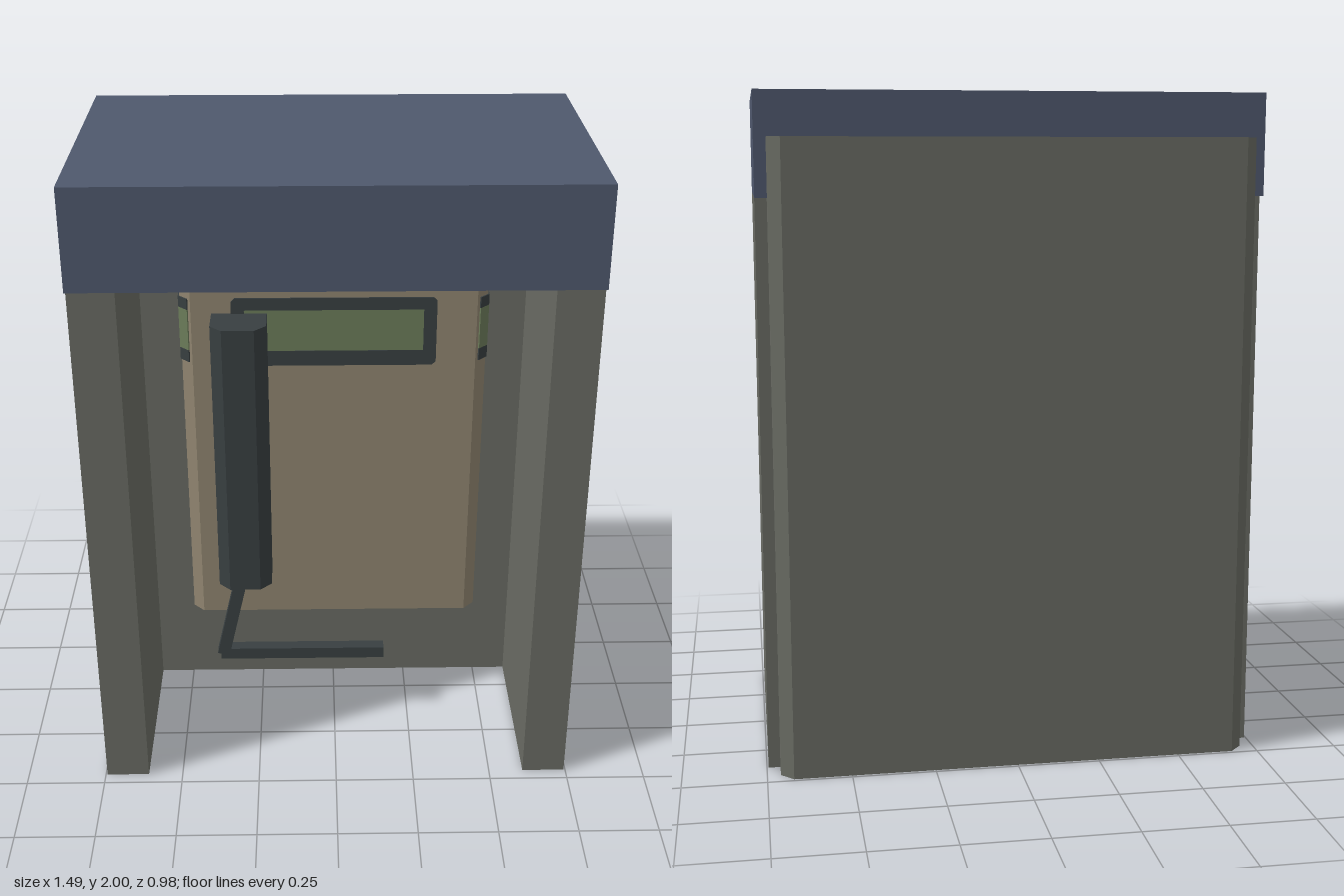
import * as THREE from 'three';

const material = (name, color) => {
  const m = new THREE.MeshStandardMaterial({ color });
  m.name = name;
  return m;
};

export function createModel() {
  const booth = new THREE.Group();
  booth.name = 'phoneBooth';

  const grey = material('greyGreen', 0x696b63);
  const blue = material('slateBlue', 0x4f586d);
  const tan = material('tan', 0x908570);
  const green = material('displayGreen', 0x6c7c5a);
  const dark = material('charcoal', 0x383f41);

  const add = (name, geometry, mat, parent = booth) => {
    const mesh = new THREE.Mesh(geometry, mat);
    mesh.name = name;
    parent.add(mesh);
    return mesh;
  };

  const outline = (points) => new THREE.Shape(points.map(([x, y]) => new THREE.Vector2(x, y)));

  // Upright prism from a plan outline of [x, z] points
  const prism = (points, y0, y1) =>
    new THREE.ExtrudeGeometry(outline(points.map(([x, z]) => [x, -z])), { depth: y1 - y0, bevelEnabled: false })
      .rotateX(-Math.PI / 2)
      .translate(0, y0, 0);

  const box = (x0, x1, y0, y1, z0, z1) =>
    new THREE.BoxGeometry(x1 - x0, y1 - y0, z1 - z0)
      .translate((x0 + x1) / 2, (y0 + y1) / 2, (z0 + z1) / 2);

  // Box plan with the two corners at zCut bevelled
  const bevelled = (cx, half, zFlat, zCut, c) => {
    const s = Math.sign(zCut - zFlat) * c;
    return [
      [cx - half, zFlat], [cx + half, zFlat], [cx + half, zCut - s],
      [cx + half - c, zCut], [cx - half + c, zCut], [cx - half, zCut - s],
    ];
  };

  // Shell: two side walls joined by a thick rear wall
  add('walls', prism([
    [-0.745, 0.46], [-0.61, 0.46], [-0.61, -0.105], [0.61, -0.105],
    [0.61, 0.46], [0.745, 0.46], [0.745, -0.39], [-0.745, -0.39],
  ], 0, 1.7), grey);
  add('backPanel', prism(bevelled(0, 0.71, -0.39, -0.49, 0.038), 0, 1.87), grey);
  add('roof', box(-0.745, 0.745, 1.7, 2, -0.425, 0.49), blue);

  // Telephone body
  const phone = new THREE.Group();
  phone.name = 'telephone';
  booth.add(phone);
  add('phoneBody', prism(bevelled(0, 0.473, -0.105, 0.07, 0.035), 0.375, 1.56), tan, phone);

  // Front display and its frame
  const rect = (x, y0, y1) => [[-x, y0], [x, y0], [x, y1], [-x, y1]];
  const c = 0.012;
  const frame = outline([
    [-0.315 + c, 1.285], [0.315 - c, 1.285], [0.315, 1.285 + c], [0.315, 1.51 - c],
    [0.315 - c, 1.51], [-0.315 + c, 1.51], [-0.315, 1.51 - c], [-0.315, 1.285 + c],
  ]);
  frame.holes.push(outline(rect(0.275, 1.335, 1.47)));
  add('displayFrame', new THREE.ExtrudeGeometry(frame, { depth: 0.004, bevelEnabled: false })
    .translate(0, 0, 0.07), dark, phone);
  add('display', box(-0.275, 0.275, 1.335, 1.47, 0.07, 0.073), green, phone);

  // Thin bands wrapping the bevels and sides of the phone body
  for (const side of [-1, 1]) {
    const wrap = [
      [0.446, 0.062], [0.449, 0.065], [0.477, 0.037],
      [0.477, -0.1], [0.473, -0.1], [0.473, 0.035],
    ].map(([x, z]) => [side * x, z]);
    add('sideDisplay', prism(wrap, 1.335, 1.47), green, phone);
    add('sideTrimLower', prism(wrap, 1.295, 1.335), dark, phone);
    add('sideTrimUpper', prism(wrap, 1.47, 1.505), dark, phone);
  }

  // Handset and hanging cord
  add('handset', prism(bevelled(-0.29, 0.085, 0.07, 0.205, 0.036), 0.545, 1.46), dark, phone);
  const dx = 0.07, dy = 0.31;
  const cord = add('cordUpper', new THREE.BoxGeometry(0.04, Math.hypot(dx, dy), 0.04), dark, phone);
  cord.position.set(-0.337, 0.41, 0.135);
  cord.rotation.z = -Math.atan2(dx, dy);
  add('cordLower', box(-0.38, 0.165, 0.236, 0.276, 0.115, 0.155), dark, phone);

  return booth;
}
